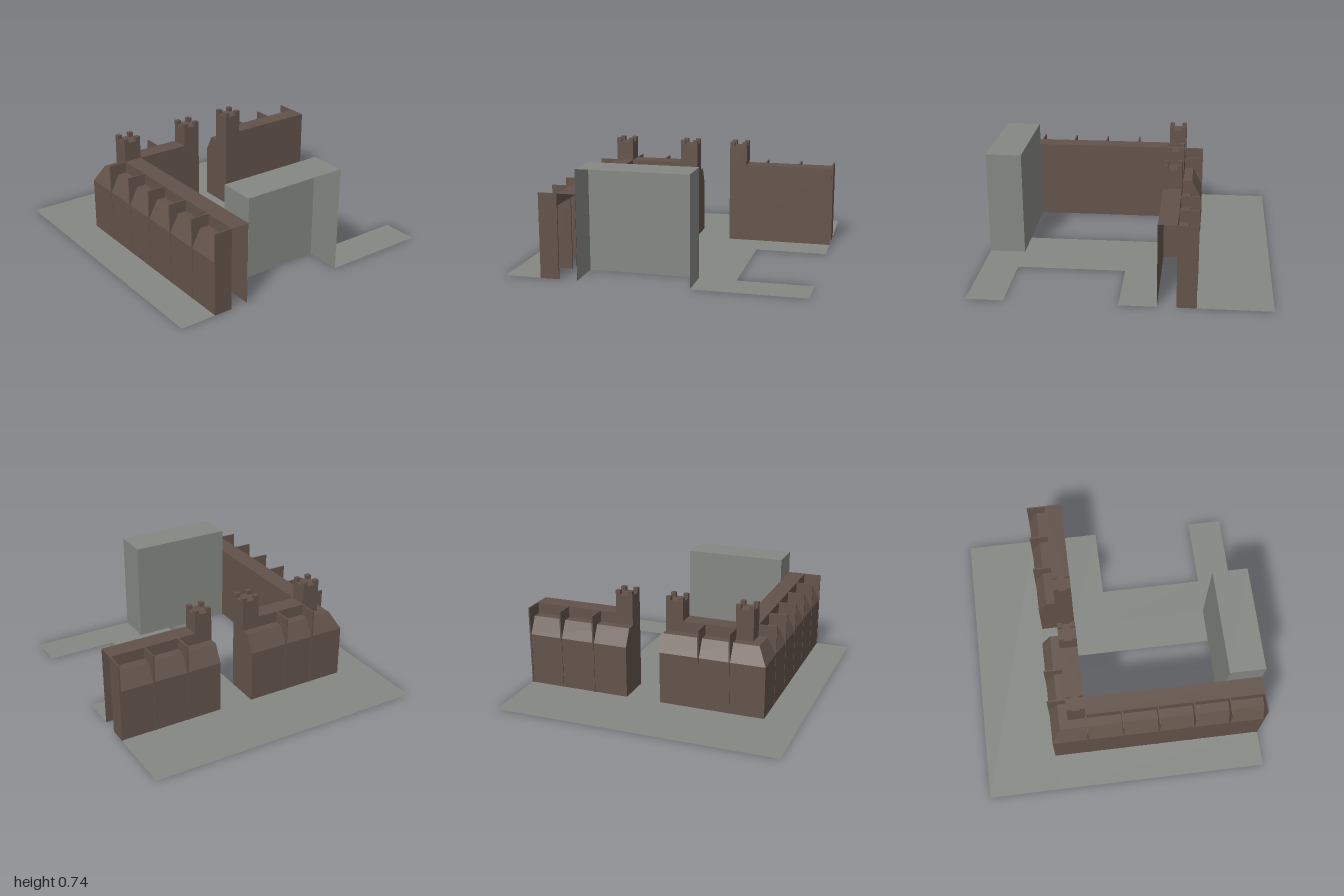
import * as THREE from 'three';

// Wall section: d = distance inward from the outer face, y = height
const PROFILE = [[0, 0], [0, 0.37], [0.0625, 0.49], [0.125, 0.49], [0.125, 0.57], [0.25, 0.57], [0.25, 0]];

// Sweep the wall section along a path; each path entry gives [x, z] for an inward offset d
function sweepWall(path) {
  const pos = [];
  const at = (p, [d, y]) => { const [x, z] = p(d); return [x, y, z]; };
  for (let i = 0; i < path.length - 1; i++) {
    for (let j = 0; j < PROFILE.length - 1; j++) {
      const a = at(path[i], PROFILE[j]), b = at(path[i + 1], PROFILE[j]);
      const c = at(path[i + 1], PROFILE[j + 1]), d = at(path[i], PROFILE[j + 1]);
      pos.push(...a, ...b, ...c, ...a, ...c, ...d);
    }
  }
  const g = new THREE.BufferGeometry();
  g.setAttribute('position', new THREE.Float32BufferAttribute(pos, 3));
  g.computeVertexNormals();
  return g;
}

export function createModel() {
  const model = new THREE.Group();
  const brown = new THREE.MeshStandardMaterial({ name: 'brownStone', color: 0x62534a, side: THREE.DoubleSide });
  const grey = new THREE.MeshStandardMaterial({ name: 'greyConcrete', color: 0x848782, side: THREE.DoubleSide });

  const add = (name, geo, mat, parent = model) => {
    const m = new THREE.Mesh(geo, mat);
    m.name = name;
    parent.add(m);
    return m;
  };
  const group = (name) => {
    const g = new THREE.Group();
    g.name = name;
    model.add(g);
    return g;
  };
  const box = (name, x0, x1, y0, y1, z0, z1, mat, parent) =>
    add(name, new THREE.BoxGeometry(x1 - x0, y1 - y0, z1 - z0), mat, parent)
      .position.set((x0 + x1) / 2, (y0 + y1) / 2, (z0 + z1) / 2);

  // Pavement slabs, left open beneath the buildings: x0, x1, z0, z1
  const ground = group('pavement');
  [
    [-1, -0.5, -1, 1], [-0.5, 1, 0.75, 1], [-0.5, 0.75, -0.25, 0],
    [-0.25, 0, -1, -0.25], [0, 0.75, -0.5, -0.25], [0.75, 1, -1, -0.25],
  ].forEach(([x0, x1, z0, z1]) => {
    const g = new THREE.PlaneGeometry(x1 - x0, z1 - z0).rotateX(-Math.PI / 2);
    add('pavementSlab', g, grey, ground).position.set((x0 + x1) / 2, 0, (z0 + z1) / 2);
  });

  // Hollow walls: an L round the front corner and a straight one behind
  add('cornerWall', sweepWall([
    (d) => [-0.5 + d, 0], (d) => [-0.5 + d, 0.75 - d], (d) => [1, 0.75 - d],
  ]), brown);
  add('backWall', sweepWall([(d) => [-0.5 + d, -1], (d) => [-0.5 + d, -0.25]]), brown);

  // Closed wall ends either side of the gateway
  const endShape = new THREE.Shape(PROFILE.map(([d, y]) => new THREE.Vector2(d - 0.5, y)));
  for (const z of [-0.25, 0]) {
    add('wallEnd', new THREE.ShapeGeometry(endShape), brown).position.z = z;
  }

  // Buttress fins dividing the bays
  const fins = group('buttressFins');
  for (const x of [-0.25, 0, 0.25, 0.5, 0.75, 0.995]) {
    box('frontFin', x - 0.005, x + 0.005, 0, 0.57, 0.625, 0.752, brown, fins);
  }
  for (const z of [-0.995, -0.75, -0.5, 0.28, 0.5]) {
    box('sideFin', -0.505, -0.375, 0, 0.57, z - 0.005, z + 0.005, brown, fins);
  }

  // Square turrets with a merlon at each corner
  for (const z0 of [-0.375, 0, 0.5]) {
    const turret = group('turret');
    box('turretShaft', -0.375, -0.25, 0.49, 0.705, z0, z0 + 0.125, brown, turret);
    for (const x of [-0.375, -0.283]) {
      for (const z of [z0, z0 + 0.092]) {
        box('merlon', x, x + 0.033, 0.705, 0.735, z, z + 0.033, brown, turret);
      }
    }
  }

  // Grey block: roof and three walls, open on its right side and underneath
  const block = group('greyBlock');
  const H = 0.735, zF = 0.498, zB = -0.25, depth = zF - zB, zMid = (zF + zB) / 2;
  add('blockRoof', new THREE.PlaneGeometry(0.25, depth).rotateX(-Math.PI / 2), grey, block).position.set(0.875, H, zMid);
  add('blockInnerWall', new THREE.PlaneGeometry(depth, H).rotateY(-Math.PI / 2), grey, block).position.set(0.75, H / 2, zMid);
  add('blockFrontWall', new THREE.PlaneGeometry(0.25, H), grey, block).position.set(0.875, H / 2, zF);
  add('blockBackWall', new THREE.PlaneGeometry(0.25, H).rotateY(Math.PI), grey, block).position.set(0.875, H / 2, zB);

  return model;
}
